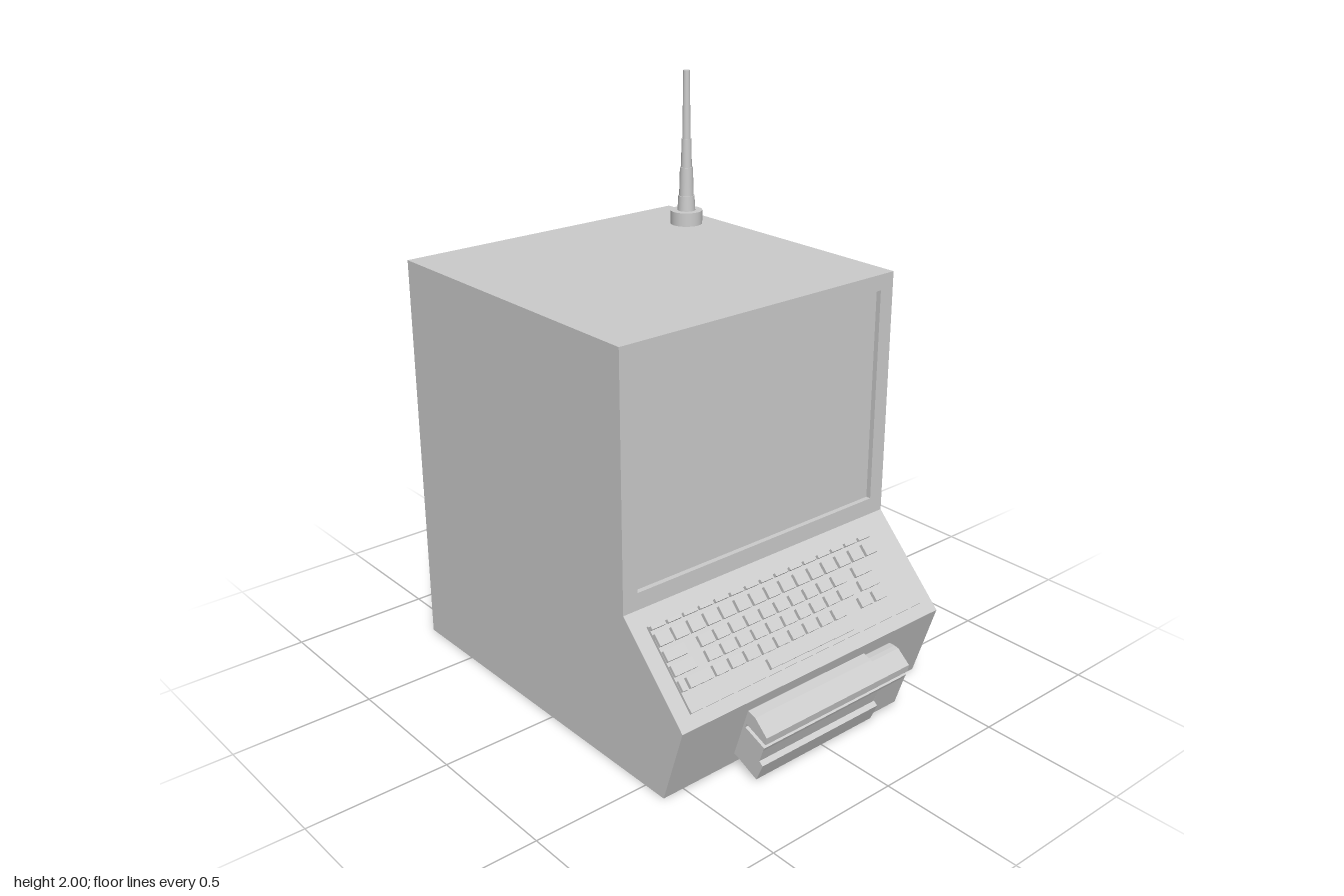
import * as THREE from 'three';

const grey = new THREE.MeshStandardMaterial({ color: 0xcccccc, flatShading: true });
const smooth = new THREE.MeshStandardMaterial({ color: 0xcccccc });

function add(parent, name, geometry, material = grey) {
  const mesh = new THREE.Mesh(geometry, material);
  mesh.name = name;
  parent.add(mesh);
  return mesh;
}

// Extrude an x-y outline between two z positions
function prism(points, z0, z1) {
  const shape = new THREE.Shape(points.map(([x, y]) => new THREE.Vector2(x, y)));
  return new THREE.ExtrudeGeometry(shape, { depth: z1 - z0, bevelEnabled: false }).translate(0, 0, z0);
}

function rectangle(path, x0, y0, x1, y1) {
  path.moveTo(x0, y0);
  path.lineTo(x1, y0);
  path.lineTo(x1, y1);
  path.lineTo(x0, y1);
  path.closePath();
  return path;
}

function createKeyboard() {
  const keyboard = new THREE.Group();
  keyboard.name = 'keyboard';
  // Local x runs down the slope, local y points out of it
  keyboard.position.set(0.4, 0.565, 0);
  keyboard.rotation.z = -Math.atan2(0.285, 0.28);

  add(keyboard, 'keyboardPanel', new THREE.BoxGeometry(0.295, 0.012, 1.045)).position.set(0.207, 0.004, 0);

  // One key, from z0 down to z1, in the row centred at s
  const key = (s, depth, z0, z1, name = 'key') => {
    add(keyboard, name, new THREE.BoxGeometry(depth, 0.014, z0 - z1)).position.set(s, 0.016, (z0 + z1) / 2);
  };

  // Narrow top row and number row
  const pitch = 0.0658;
  for (let i = 0; i < 15; i++) {
    const z = 0.522 - i * pitch;
    key(0.07, 0.012, z, z - 0.056, 'topRowKey');
    key(0.112, 0.042, z, z - 0.054);
  }

  // Letter rows: shared columns with wider keys at both ends
  const rows = [
    { s: 0.167, count: 10, ends: [[0.522, 0.44], [-0.31, -0.39]] },
    { s: 0.217, count: 10, ends: [[0.522, 0.435], [-0.305, -0.39]] },
    { s: 0.268, count: 9, ends: [[0.522, 0.5], [0.49, 0.392], [-0.27, -0.325], [-0.338, -0.39]] },
  ];
  rows.forEach(({ s, count, ends }) => {
    for (let i = 0; i < count; i++) {
      const z = 0.383 - i * pitch;
      key(s, 0.036, z, z - 0.054);
    }
    ends.forEach(([z0, z1]) => key(s, 0.036, z0, z1));
  });
  key(0.322, 0.034, 0.185, -0.195, 'spaceBar');
  return keyboard;
}

function createDrive() {
  const drive = new THREE.Group();
  drive.name = 'diskDrive';
  const slot = [[0.753, 0.18], [0.748, 0.153], [0.66, 0.187], [0.655, 0.172], [0.743, 0.138]];
  // Long section with a raised top and a stepped lower ledge
  const long = [[0.62, 0.245], [0.66, 0.24], [0.7, 0.228], ...slot,
    [0.738, 0.127], [0.722, 0.08], [0.738, 0.069], [0.71, 0.005], [0.616, 0.045], [0.59, 0.05]];
  // Short end section without the raised top and the ledge
  const short = [[0.62, 0.225], [0.685, 0.225], [0.702, 0.222], ...slot,
    [0.738, 0.127], [0.7, 0.01], [0.614, 0.045], [0.59, 0.05]];
  add(drive, 'driveBody', prism(long, -0.23, 0.298));
  add(drive, 'driveEnd', prism(short, -0.363, -0.23));
  return drive;
}

export function createModel() {
  const model = new THREE.Group();
  model.name = 'computerTerminal';

  // Cabinet with a sloped keyboard ledge and an undercut front
  add(model, 'cabinet', prism([
    [-0.76, 0], [0.59, 0], [0.68, 0.28], [0.4, 0.565], [0.38, 0.565], [0.38, 1.44], [-0.76, 1.44],
  ], -0.58, 0.58));

  // Frame around the sunken screen
  const frame = rectangle(new THREE.Shape(), -0.58, 0.565, 0.58, 1.44);
  frame.holes.push(rectangle(new THREE.Path(), -0.522, 0.625, 0.522, 1.385));
  add(model, 'screenFrame', new THREE.ExtrudeGeometry(frame, { depth: 0.02, bevelEnabled: false })
    .rotateY(Math.PI / 2).translate(0.38, 0, 0));
  add(model, 'screen', new THREE.BoxGeometry(0.004, 0.76, 1.044)).position.set(0.38, 1.005, 0);

  model.add(createKeyboard(), createDrive());

  // Telescopic antenna: [bottom radius, top radius, bottom y, top y]
  const antenna = new THREE.Group();
  antenna.name = 'antenna';
  antenna.position.set(-0.52, 0, -0.463);
  [
    [0.059, 0.059, 1.44, 1.49],
    [0.033, 0.03, 1.49, 1.545],
    [0.027, 0.024, 1.545, 1.65],
    [0.02, 0.018, 1.65, 1.755],
    [0.015, 0.012, 1.755, 2],
  ].forEach(([r0, r1, y0, y1], i) => {
    add(antenna, i ? 'antennaSection' : 'antennaBase',
      new THREE.CylinderGeometry(r1, r0, y1 - y0, 32), smooth).position.y = (y0 + y1) / 2;
  });
  model.add(antenna);
  return model;
}
